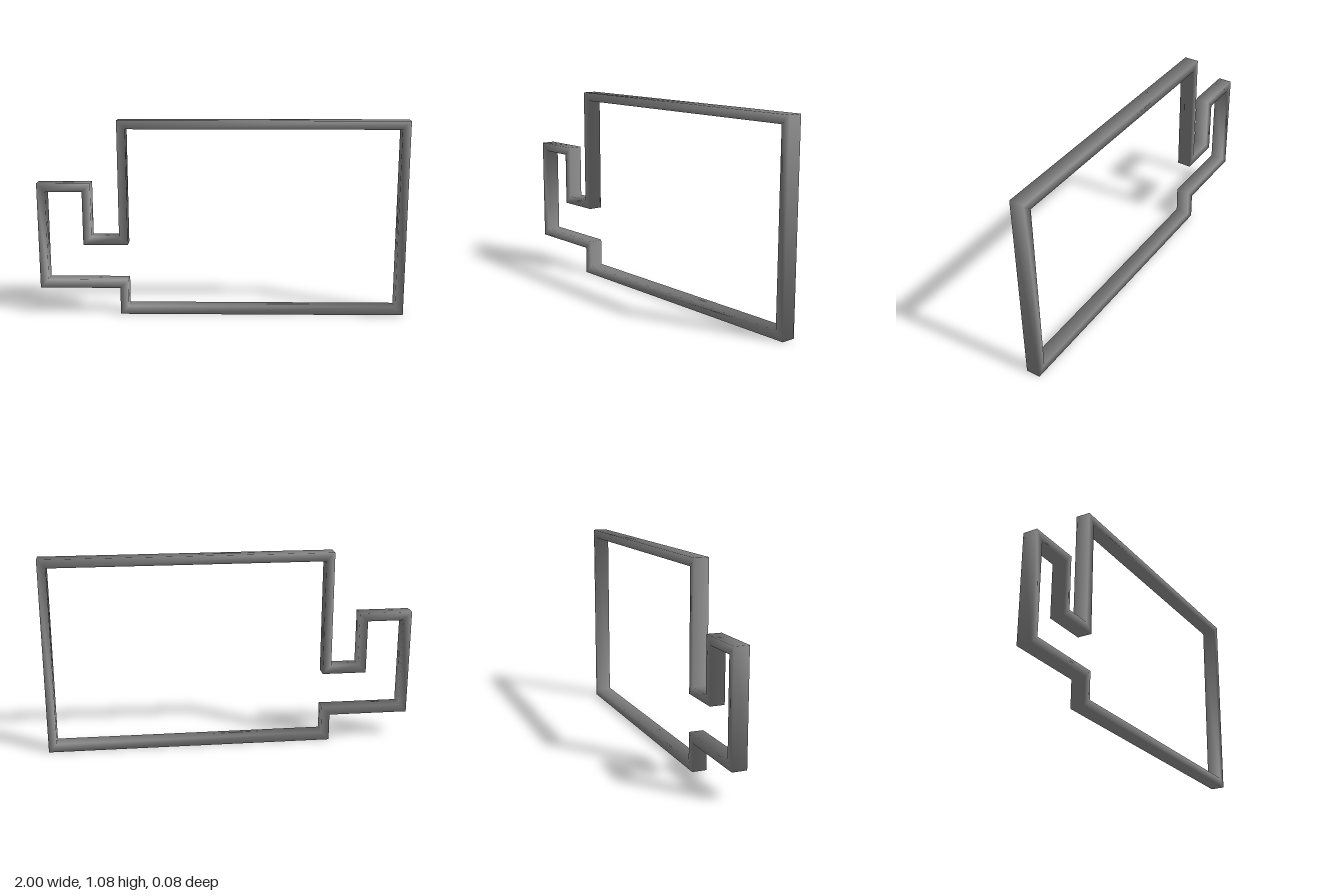
import * as THREE from 'three';

const WALL = 0.046;   // wall thickness
const HALF = 0.039;   // half the depth along z

// Outer corners, counter-clockwise seen from the front
const OUTLINE = [
  [-1, 0.15], [-0.56, 0.15], [-0.56, 0], [1, 0], [1, 1.075],
  [-0.56, 1.075], [-0.56, 0.44], [-0.71, 0.44], [-0.71, 0.735], [-1, 0.735],
];

// Outward unit normal of the edge from a to b
function edgeNormal(a, b) {
  return new THREE.Vector2(b[1] - a[1], a[0] - b[0]).normalize();
}

// Sweeps a rectangular section around the closed outline with mitred corners
function wallLoop(points, thickness, half) {
  const n = points.length;
  const positions = [];
  const normals = [];
  const index = [];
  // Section corners as [inward step, side along z, sign of the outward normal]
  const section = [[0, 1, 1], [0, -1, 1], [1, -1, -1], [1, 1, -1]];
  points.forEach((p, i) => {
    const prev = points[(i + n - 1) % n];
    const next = points[(i + 1) % n];
    const miter = edgeNormal(prev, p).add(edgeNormal(p, next));
    for (const [step, side, out] of section) {
      const inset = step * thickness;
      positions.push(p[0] - miter.x * inset, p[1] - miter.y * inset, side * half);
      // Evenly blended normals give the soft shading
      normals.push(...new THREE.Vector3(miter.x * out, miter.y * out, side).normalize());
    }

    // Four sides joining this corner to the next
    const a = i * 4;
    const b = ((i + 1) % n) * 4;
    for (let k = 0; k < 4; k++) {
      const m = (k + 1) % 4;
      index.push(a + k, a + m, b + k, b + k, a + m, b + m);
    }
  });
  const geometry = new THREE.BufferGeometry();
  geometry.setAttribute('position', new THREE.Float32BufferAttribute(positions, 3));
  geometry.setAttribute('normal', new THREE.Float32BufferAttribute(normals, 3));
  geometry.setIndex(index);
  return geometry;
}

export function createModel() {
  const group = new THREE.Group();
  group.name = 'outlineFrame';
  const material = new THREE.MeshStandardMaterial({ color: 0x808080 });
  const walls = new THREE.Mesh(wallLoop(OUTLINE, WALL, HALF), material);
  walls.name = 'wallLoop';
  group.add(walls);
  return group;
}
